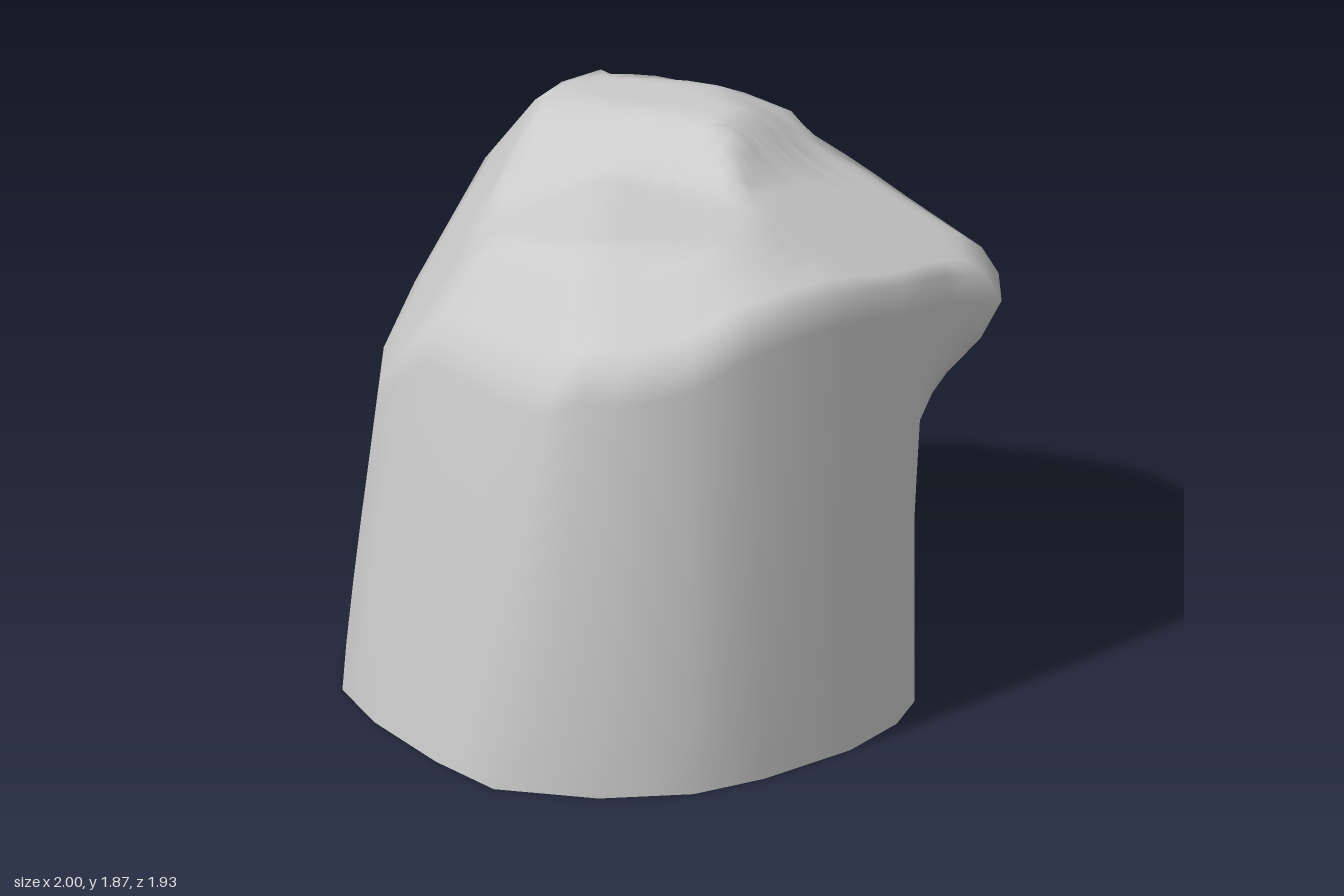
import * as THREE from 'three';

// Outline spokes, counter-clockwise from above: base x, z, then shoulder x, z
const SPOKES = [
  [-0.2, 0.96, -0.18, 0.87], [0.15, 0.95, 0.15, 0.87], [0.38, 0.88, 0.45, 0.82],
  [0.52, 0.78, 0.7, 0.74], [0.59, 0.6, 0.9, 0.73], [0.65, 0.42, 1.0, 0.57],
  [0.71, 0.22, 0.85, 0.3], [0.77, 0.04, 0.74, 0.08], [0.8, -0.1, 0.73, -0.13],
  [0.7, -0.3, 0.62, -0.3], [0.48, -0.6, 0.42, -0.55], [0.3, -0.78, 0.25, -0.7],
  [-0.1, -0.97, -0.08, -0.79], [-0.45, -0.8, -0.42, -0.7], [-0.73, -0.62, -0.64, -0.56],
  [-0.95, -0.35, -0.82, -0.32], [-1, -0.1, -0.78, -0.08], [-1, 0.25, -0.77, 0.3],
  [-0.96, 0.52, -0.74, 0.53], [-0.72, 0.77, -0.6, 0.7], [-0.45, 0.92, -0.4, 0.82],
];
const CENTRE = [0.1, -0.05];
const lerp = THREE.MathUtils.lerp;

// Height of the crown: sloping ledge and raised hump, cut by tilted planes
function topHeight(x, z) {
  const ledge = Math.min(
    1.74,
    1.74 - 0.5 * (z - 0.62),
    1.74 - 0.4 * (0.8 * x + 0.6 * z - 0.36),
    1.74 - 0.35 * (-0.75 * x - 0.66 * z - 0.12),
  );
  const hump = Math.min(
    1.87,
    1.87 + 0.1 * (z + 0.1),
    1.83 + 0.5 * x - 0.25 * (z + 0.3),
    1.87 - 0.4 * (x - 0.38),
    1.77 - 2 * (x - 0.62),
    1.87 - 1.2 * (0.5 * x + 0.8 * z - 0.22),
  );
  const left = 1.34 + 1.34 * (x + 0.78);
  const frontLeft = 1.44 + 0.8 * (0.94 - 0.707 * (z - x));
  const back = 1.81 + 1.3 * (z + 0.59);
  const backLeft = 1.72 + 1.6 * (0.44 + 0.75 * x + 0.66 * z);
  const backRight = 1.87 - 2.2 * (0.8 * x - 0.6 * z - 0.49);
  return Math.min(Math.max(ledge, hump), left, frontLeft, back, backLeft, backRight);
}

// Point on the side wall at fraction t of its height; spokes that lean out form the overhang
function wallPoint([bx, bz, sx, sz], t) {
  const overhang = Math.hypot(sx, sz) > Math.hypot(bx, bz) + 0.03;
  const f = overhang
    ? THREE.MathUtils.smoothstep(t, 0.6, 0.94) - (t === 1 ? 0.15 : 0)
    : Math.pow(t, 1.2);
  return [lerp(bx, sx, f), t * topHeight(sx, sz), lerp(bz, sz, f)];
}

// Point on the crown at fraction s from the shoulder to the centre
function crownPoint(spoke, s) {
  const [x0, , z0] = wallPoint(spoke, 1);
  const x = lerp(x0, CENTRE[0], s), z = lerp(z0, CENTRE[1], s);
  return [x, topHeight(x, z), z];
}

export function createModel() {
  const group = new THREE.Group();
  group.name = 'boulder';
  const material = new THREE.MeshStandardMaterial({ color: 0xcccccc });

  // Halve the gaps between spokes
  const spokes = SPOKES.flatMap((p, i) => {
    const q = SPOKES[(i + 1) % SPOKES.length];
    return [p, p.map((v, k) => (v + q[k]) / 2)];
  });
  const n = spokes.length;

  // Rings up the wall, then inwards over the crown
  const wallSteps = [0, 0.15, 0.35, 0.55, 0.68, 0.76, 0.84, 0.93, 1];
  const crownSteps = Array.from({ length: 13 }, (_, i) => (i + 1) / 14);
  const rings = [
    ...wallSteps.map((t) => spokes.map((p) => wallPoint(p, t))),
    ...crownSteps.map((s) => spokes.map((p) => crownPoint(p, s))),
  ];
  const positions = rings.flat(2);
  const index = [];
  for (let r = 0; r < rings.length - 1; r++) {
    for (let i = 0; i < n; i++) {
      const a = r * n + i, b = r * n + ((i + 1) % n);
      index.push(a, b, b + n, a, b + n, a + n);
    }
  }
  // Close the crown
  const last = (rings.length - 1) * n;
  const peak = rings.length * n;
  positions.push(CENTRE[0], topHeight(...CENTRE), CENTRE[1]);
  for (let i = 0; i < n; i++) index.push(last + i, last + ((i + 1) % n), peak);

  const rock = new THREE.BufferGeometry();
  rock.setAttribute('position', new THREE.Float32BufferAttribute(positions, 3));
  rock.setIndex(index);
  rock.computeVertexNormals();
  const body = new THREE.Mesh(rock, material);
  body.name = 'rockBody';
  group.add(body);

  // Flat underside
  const outline = new THREE.Shape(SPOKES.map(([x, z]) => new THREE.Vector2(x, z)));
  const underside = new THREE.Mesh(new THREE.ShapeGeometry(outline).rotateX(Math.PI / 2), material);
  underside.name = 'underside';
  group.add(underside);

  return group;
}
